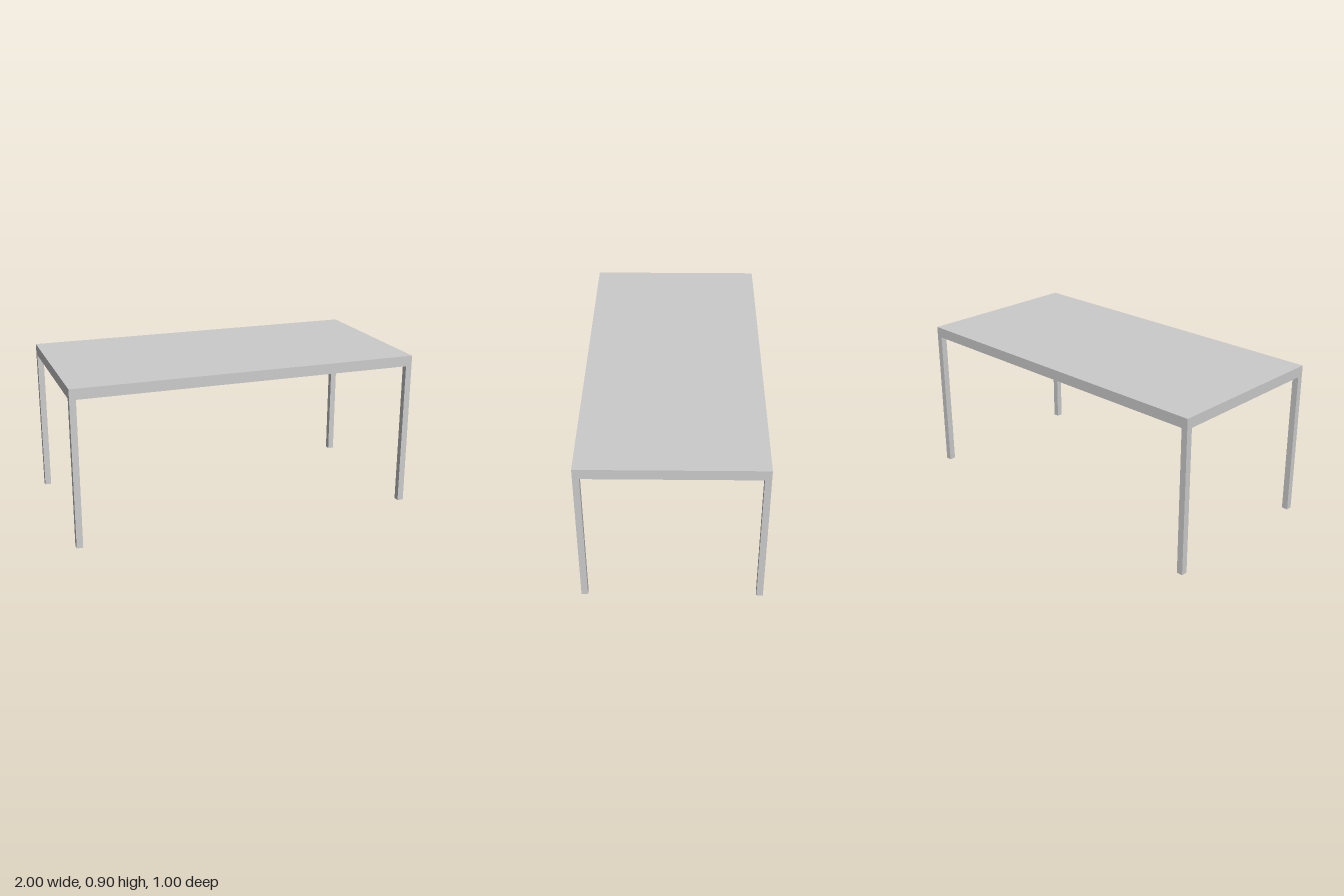
import * as THREE from 'three';

const LENGTH = 2, DEPTH = 1, HEIGHT = 0.9, TOP = 0.06, LEG = 0.036;

export function createModel() {
  const table = new THREE.Group();
  table.name = 'table';
  const material = new THREE.MeshStandardMaterial({ color: 0xcccccc });

  const addBox = (name, w, h, d, x, y, z) => {
    const mesh = new THREE.Mesh(new THREE.BoxGeometry(w, h, d), material);
    mesh.name = name;
    mesh.position.set(x, y, z);
    table.add(mesh);
  };

  // Solid slab top
  addBox('tableTop', LENGTH, TOP, DEPTH, 0, HEIGHT - TOP / 2, 0);

  // Square legs, flush with the corners of the top
  const legHeight = HEIGHT - TOP;
  for (const [zName, sz] of [['front', 1], ['back', -1]]) {
    for (const [xName, sx] of [['Left', 1], ['Right', -1]]) {
      addBox(`${zName}${xName}Leg`, LEG, legHeight, LEG,
        sx * (LENGTH - LEG) / 2, legHeight / 2, sz * (DEPTH - LEG) / 2);
    }
  }
  return table;
}
